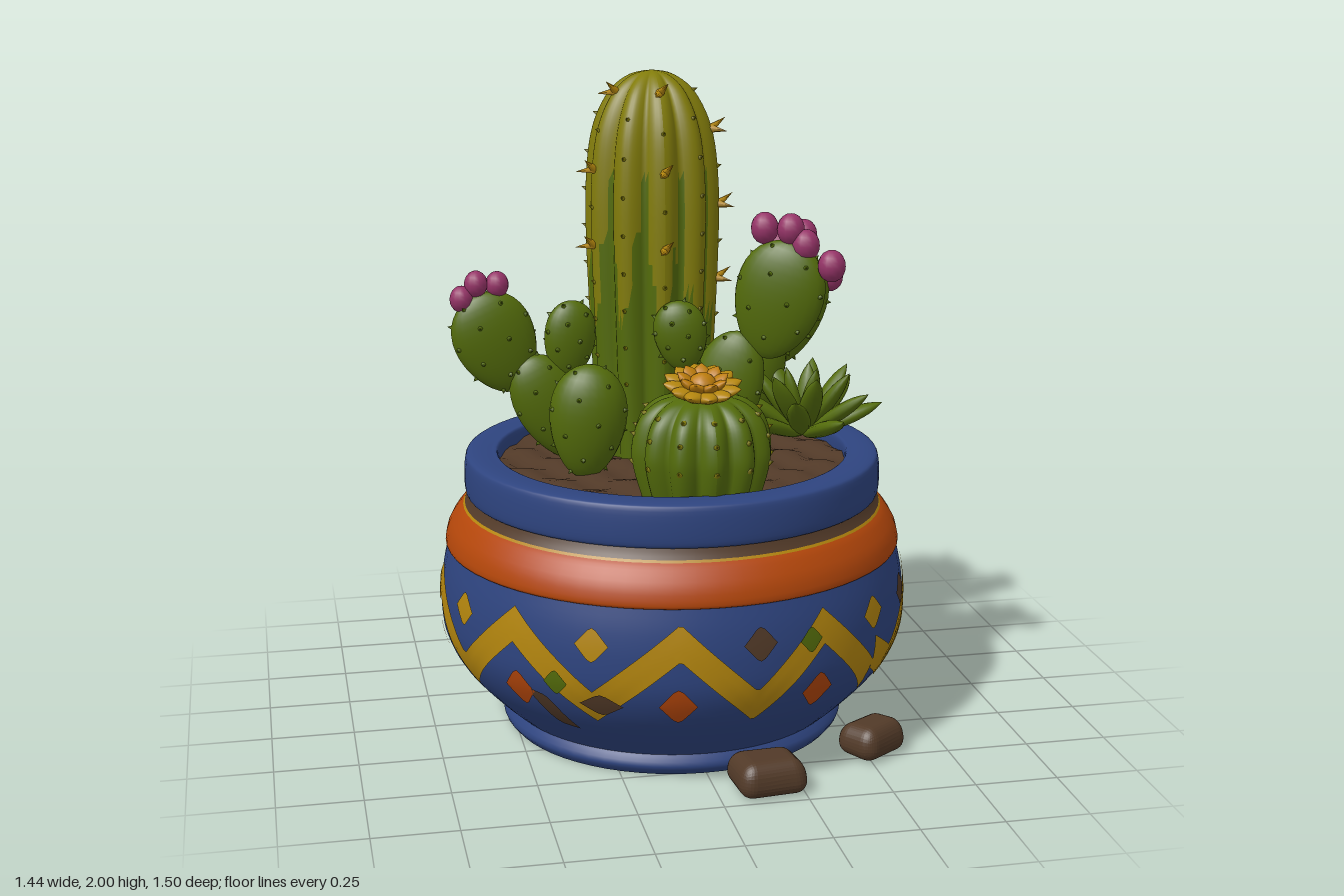
import * as THREE from 'three';
import { mergeGeometries } from 'three/addons/utils/BufferGeometryUtils.js';
import { RoundedBoxGeometry } from 'three/addons/geometries/RoundedBoxGeometry.js';

const mat = (name, color) => Object.assign(new THREE.MeshStandardMaterial({ color }), { name });
const V = (x, y, z) => new THREE.Vector3(x, y, z);

// Smooth radius curve through [radius, y] points
const curve = (pts, n) => new THREE.SplineCurve(pts.map(p => new THREE.Vector2(...p))).getPoints(n);
// Piecewise linear lookup of y for x in sorted [x, y] pairs
const lerpTable = (pts, x) => {
  for (let i = 1; i < pts.length; i++) {
    const [a, b] = [pts[i - 1], pts[i]];
    if (x <= b[0]) return a[1] + (b[1] - a[1]) * (x - a[0]) / (b[0] - a[0]);
  }
  return pts[pts.length - 1][1];
};
const radiusAt = (pts, y) => lerpTable(pts.map(p => [p.y, p.x]), y);

// Surface grid: u runs right and v runs up when seen from outside
function grid(nu, nv, fn) {
  const pos = [], idx = [];
  for (let j = 0; j <= nv; j++) for (let i = 0; i <= nu; i++) pos.push(...fn(i / nu, j / nv));
  for (let j = 0; j < nv; j++) for (let i = 0; i < nu; i++) {
    const a = j * (nu + 1) + i, d = a + nu + 1;
    idx.push(a, a + 1, d + 1, a, d + 1, d);
  }
  const g = new THREE.BufferGeometry();
  g.setAttribute('position', new THREE.Float32BufferAttribute(pos, 3));
  g.setIndex(idx);
  g.computeVertexNormals();
  return g;
}

// Ribbed cactus body from a radius profile
const ribbed = (pts, ribs, depth) => {
  const prof = curve(pts, 36);
  return grid(ribs * 10, 36, (u, v) => {
    const p = prof[Math.round(v * 36)], t = u * Math.PI * 2;
    const r = Math.max(0, p.x) * (1 - depth + depth * Math.abs(Math.cos(t * ribs / 2)));
    return [r * Math.sin(t), p.y, r * Math.cos(t)];
  });
};

// Cone thorn at a point, aimed along a direction
function thorn(p, dir, len, r) {
  const g = new THREE.ConeGeometry(r, len, 6).translate(0, len / 2, 0);
  g.applyQuaternion(new THREE.Quaternion().setFromUnitVectors(V(0, 1, 0), dir.clone().normalize()));
  return g.translate(p.x, p.y, p.z);
}

export function createModel() {
  const blue = mat('blue glaze', 0x2e447f), orange = mat('orange glaze', 0xb3460a);
  const gold = mat('golden yellow', 0xb4860e), brown = mat('brown earth', 0x523a28);
  const green = mat('cactus green', 0x536b0b), olive = mat('olive yellow', 0x827c0b);
  const pink = mat('pink fruit', 0x963468), amber = mat('amber petal', 0xbc7c0c);
  const model = new THREE.Group();
  const add = (geo, material, name, parent = model) => {
    const m = new THREE.Mesh(geo, material);
    m.name = name;
    parent.add(m);
    return m;
  };
  const group = (name, x = 0, y = 0, z = 0) => {
    const g = new THREE.Group();
    g.name = name;
    g.position.set(x, y, z);
    model.add(g);
    return g;
  };
  const lathe = (pts, material, name) => add(new THREE.LatheGeometry(pts, 64), material, name);

  // Pot
  const body = curve([[0.51, 0.065], [0.57, 0.12], [0.66, 0.22], [0.708, 0.32], [0.716, 0.42], [0.708, 0.51], [0.69, 0.59]], 24);
  lathe(curve([[0, 0.005], [0.51, 0.005]], 1).concat(curve([[0.51, 0.005], [0.53, 0.035], [0.51, 0.07]], 6)), blue, 'potFoot');
  lathe(body, blue, 'potBody');
  lathe(curve([[0.688, 0.58], [0.699, 0.592], [0.688, 0.64], [0.66, 0.685], [0.643, 0.702]], 12), orange, 'orangeBand');
  lathe(curve([[0.643, 0.702], [0.638, 0.709]], 1), gold, 'goldLine');
  lathe(curve([[0.638, 0.709], [0.625, 0.73], [0.61, 0.77]], 4), brown, 'potNeck');
  lathe(curve([[0.58, 0.738], [0.622, 0.738], [0.636, 0.76], [0.634, 0.845], [0.616, 0.866], [0.555, 0.866], [0.533, 0.855], [0.533, 0.78]], 32), blue, 'potRim');

  // Painted decoration following the pot wall
  const onPot = (t, y, lift = 0.005) => {
    const r = radiusAt(body, y) + lift;
    return [r * Math.sin(t), y, r * Math.cos(t)];
  };
  const rad = Math.PI / 180, hi = 0.49, lo = 0.278;
  const knots = [[45, 0.345], [54, lo], [75, hi], [96, lo], [115, hi]];
  for (let k = 0; k < 5; k++) knots.push([134.4 + 38.8 * k, lo], [153.8 + 38.8 * k, hi]);
  knots.push([330, lo], [350.5, hi], [368.5, lo], [386, hi], [405, lo - 0.01]);
  add(grid(360, 3, (u, v) => {
    const a = 45 + 360 * u;
    return onPot(a * rad, lerpTable(knots, a) + (v - 0.5) * 0.106);
  }), gold, 'zigzag');
  const diamond = (deg, y, w, h, material, lean = 0, lift = 0.006) => add(grid(8, 4, (u, v) =>
    onPot(deg * rad + (u - 0.5) * w / 0.7, y + lean * (u - 0.5) + (v - 0.5) * h * Math.min(1, 1.15 - 1.15 * Math.abs(2 * u - 1)), lift)), material, 'diamond');
  [[-70, gold], [-30, gold], [9, brown], [44, gold], [63, brown], [131, orange], [171, gold], [212, brown], [251, gold]]
    .forEach(([a, m]) => diamond(a, 0.472, 0.1, 0.1, m));
  [-50, -10, 25, 77, 113, 153, 193, 231, 270].forEach(a => diamond(a, 0.295, 0.11, 0.115, orange));
  // Chipped and tinted patches
  [[-42, 0.24], [87, 0.235], [155, 0.24]].forEach(([a, y]) => diamond(a, y, 0.14, 0.09, brown, -0.13));
  diamond(-28, 0.29, 0.13, 0.07, brown, 0, 0.009);
  [[-39, 0.345], [22, 0.46], [78, 0.47]].forEach(([a, y]) => diamond(a, y, 0.075, 0.075, green, 0, 0.009));

  // Soil
  add(grid(64, 20, (u, v) => {
    const t = u * Math.PI * 2, r = 0.56 * (1 - v), x = r * Math.sin(t), z = r * Math.cos(t);
    return [x, 0.825 + 0.014 * Math.sin(x * 31 + 4 * z) * Math.sin(z * 27 - 6 * x), z];
  }), brown, 'soil');

  // Stones at the foot
  [[0.15, 0.65, 0.22, 0.19, 0.1], [0.52, 0.465, 0.2, 0.15, 0.6], [0.51, -0.38, 0.2, 0.2, -0.4], [0.17, -0.65, 0.2, 0.2, 0.3]].forEach(([x, z, w, d, a]) => {
    const g = new RoundedBoxGeometry(w, 0.1, d, 4, 0.045), p = g.attributes.position;
    for (let i = 0; i < p.count; i++) {
      const s = 1 - 1.4 * (p.getY(i) + 0.05) * (p.getX(i) > 0 ? 1.3 : 0.8);
      p.setXYZ(i, p.getX(i) * s, p.getY(i) + p.getZ(i) * p.getY(i), p.getZ(i) * s);
    }
    g.computeVertexNormals();
    const m = add(g, brown, 'stone');
    m.position.set(x, 0.06, z);
    m.rotation.y = a;
  });

  // Tall column: olive crown and ribs, green grooves and foot
  const colPts = [[0.175, 0.8], [0.19, 1.1], [0.205, 1.45], [0.205, 1.66], [0.185, 1.82], [0.135, 1.93], [0.07, 1.985], [0, 2]];
  const colGeo = ribbed(colPts, 10, 0.17), cp = colGeo.attributes.position, lists = [[], []];
  for (let i = 0; i < colGeo.index.count; i += 3) {
    const f = [0, 1, 2].map(k => colGeo.index.getX(i + k));
    const mid = c => f.reduce((s, k) => s + cp.getComponent(k, c), 0) / 3;
    const t = Math.atan2(mid(0), mid(2)), y = mid(1), rib = Math.abs(Math.cos(5 * t));
    const edge = 1.34 - 0.13 * Math.cos(t - 2.4) + 0.06 * Math.sin(11 * t);
    const isOlive = y > edge ? rib > 0.22 || y > 1.7 : rib > 0.8 && y > edge - 0.15;
    lists[isOlive ? 0 : 1].push(...f);
  }
  colGeo.setIndex(lists[0].concat(lists[1]));
  colGeo.addGroup(0, lists[0].length, 0);
  colGeo.addGroup(lists[0].length, lists[1].length, 1);
  const column = group('columnCactus', -0.025, 0, -0.18);
  add(colGeo, [olive, green], 'columnBody', column);
  const colProf = curve(colPts, 36), bigThorns = [], smallThorns = [];
  for (let k = 0; k < 10; k++) for (let j = 0; j < 9; j++) {
    const y = 1.02 + j * 0.115 + (k % 2) * 0.04, t = k * Math.PI / 5, r = radiusAt(colProf, y) - 0.004;
    const big = (k + 2 * j) % 4 === 0 && y > 1.25, p = V(r * Math.sin(t), y, r * Math.cos(t));
    if (y > 1.95) continue;
    if (!big) smallThorns.push(thorn(p, V(Math.sin(t), 0.4, Math.cos(t)), 0.018, 0.008));
    else [-0.4, 0.4].forEach(s => bigThorns.push(thorn(p, V(Math.sin(t + s), 0.3 + s, Math.cos(t + s)), 0.058, 0.014)));
  }
  add(mergeGeometries(bigThorns), gold, 'columnThorns', column);
  add(mergeGeometries(smallThorns), olive, 'columnBumps', column);

  // Barrel cactus
  const barPts = [[0.17, 0.8], [0.2, 0.9], [0.207, 0.97], [0.185, 1.05], [0.13, 1.1], [0.06, 1.115], [0, 1.11]];
  const barrel = group('barrelCactus', 0.015, 0, 0.36);
  add(ribbed(barPts, 12, 0.16), green, 'barrelBody', barrel);
  const barProf = curve(barPts, 36), barThorns = [];
  for (let k = 0; k < 12; k++) [0.93, 1.01, 1.07].forEach(y => {
    const t = k * Math.PI / 6, r = radiusAt(barProf, y) - 0.004;
    barThorns.push(thorn(V(r * Math.sin(t), y, r * Math.cos(t)), V(Math.sin(t), 0.4, Math.cos(t)), 0.018, 0.01));
  });
  add(mergeGeometries(barThorns), olive, 'barrelThorns', barrel);

  // Pointed leaf, used for the flower and the rosette
  const leaf = (len, w, flat, parent, material, name, tilt, turn) => {
    const g = new THREE.LatheGeometry(curve([[0, 0], [w * 0.7, len * 0.2], [w, len * 0.55], [w * 0.7, len * 0.82], [0, len]], 12), 12);
    const m = add(g.scale(1, 1, flat), material, name, parent);
    m.rotation.set(tilt, turn, 0, 'YXZ');
  };
  const flower = group('flower', 0.015, 1.115, 0.36);
  flower.rotation.x = 0.25;
  for (let k = 0; k < 12; k++) leaf(0.125, 0.034, 0.5, flower, gold, 'outerPetal', 1.22, k * Math.PI / 6);
  for (let k = 0; k < 9; k++) leaf(0.1, 0.029, 0.5, flower, amber, 'innerPetal', 0.85, k * Math.PI / 4.5 + 0.2);
  add(new THREE.SphereGeometry(0.045, 12, 8), amber, 'flowerHeart', flower).position.y = 0.025;

  // Leafy rosette
  const rosette = group('rosette', 0.425, 0.87, -0.03);
  for (let k = 0; k < 10; k++) leaf(0.27, 0.036, 0.65, rosette, green, 'outerLeaf', k % 2 ? 0.95 : 1.2, k * Math.PI / 5 + 0.25);
  for (let k = 0; k < 7; k++) leaf(0.265, 0.036, 0.65, rosette, green, 'innerLeaf', 0.62, k * Math.PI / 3.5);
  for (let k = 0; k < 3; k++) leaf(0.23, 0.032, 0.65, rosette, green, 'heartLeaf', 0.25, k * Math.PI / 1.5 + 0.5);

  // Flat pads: centre, half width, half height, half thickness, lean, turn
  const pad = (x, y, z, w, h, t, lean, turn) => {
    const g = group('cactusPad', x, y, z);
    g.rotation.set(0, turn, lean, 'YXZ');
    const geo = new THREE.SphereGeometry(1, 24, 18), p = geo.attributes.position;
    for (let i = 0; i < p.count; i++) {
      const s = 1 + 0.16 * p.getY(i);
      p.setXYZ(i, p.getX(i) * w * s, p.getY(i) * h, p.getZ(i) * t * s);
    }
    geo.computeVertexNormals();
    add(geo, green, 'pad', g);
    const bumps = [];
    for (let k = 0; k < 24; k++) {
      const c = 1 - (k + 0.5) / 12, s = Math.sqrt(1 - c * c), a = k * 2.4, e = 1 + 0.16 * c;
      const n = V(Math.cos(a) * s, c, Math.sin(a) * s);
      bumps.push(thorn(V(n.x * w * e * 0.98, n.y * h * 0.98, n.z * t * e * 0.98), V(n.x / w, n.y / h, n.z / t), 0.015, 0.008));
    }
    add(mergeGeometries(bumps), green, 'padThorns', g);
  };
  // left plant
  pad(-0.35, 0.97, -0.15, 0.105, 0.18, 0.055, 0.45, 0.05);
  pad(-0.515, 1.18, -0.16, 0.125, 0.165, 0.05, 0.4, 0.05);
  pad(-0.29, 1.18, -0.15, 0.08, 0.125, 0.045, -0.1, 0.05);
  // single front pad
  pad(-0.28, 0.99, 0.12, 0.115, 0.175, 0.075, -0.08, -0.2);
  // right front plant
  pad(0.15, 1.02, 0.04, 0.11, 0.22, 0.055, -0.3, -0.5);
  pad(0.3, 1.335, 0.12, 0.135, 0.185, 0.055, -0.25, -0.5);
  pad(0.02, 1.22, 0.04, 0.08, 0.11, 0.045, 0.15, -0.2);
  // right back plant
  pad(0.28, 1.0, -0.16, 0.1, 0.2, 0.055, -0.4, 0.2);
  pad(0.42, 1.24, -0.205, 0.125, 0.185, 0.05, -0.32, 0.2);
  // back plant
  pad(-0.12, 0.93, -0.38, 0.08, 0.15, 0.05, -0.1, 1.4);
  pad(-0.13, 1.14, -0.43, 0.075, 0.135, 0.05, -0.15, 1.4);

  // Fruits on the pad edges
  [[-0.62, 1.32, -0.16], [-0.575, 1.365, -0.16], [-0.51, 1.36, -0.165],
    [0.265, 1.55, 0.09], [0.335, 1.55, 0.13], [0.375, 1.505, 0.155], [0.44, 1.45, 0.21],
    [0.385, 1.44, -0.21], [0.43, 1.46, -0.24], [0.475, 1.47, -0.235], [0.565, 1.33, -0.245]].forEach(([x, y, z], i) => {
    const m = add(new THREE.SphereGeometry(i < 3 ? 0.036 : 0.042, 14, 10), pink, 'fruit');
    m.position.set(x, y, z);
    m.scale.y = 1.15;
  });
  return model;
}
